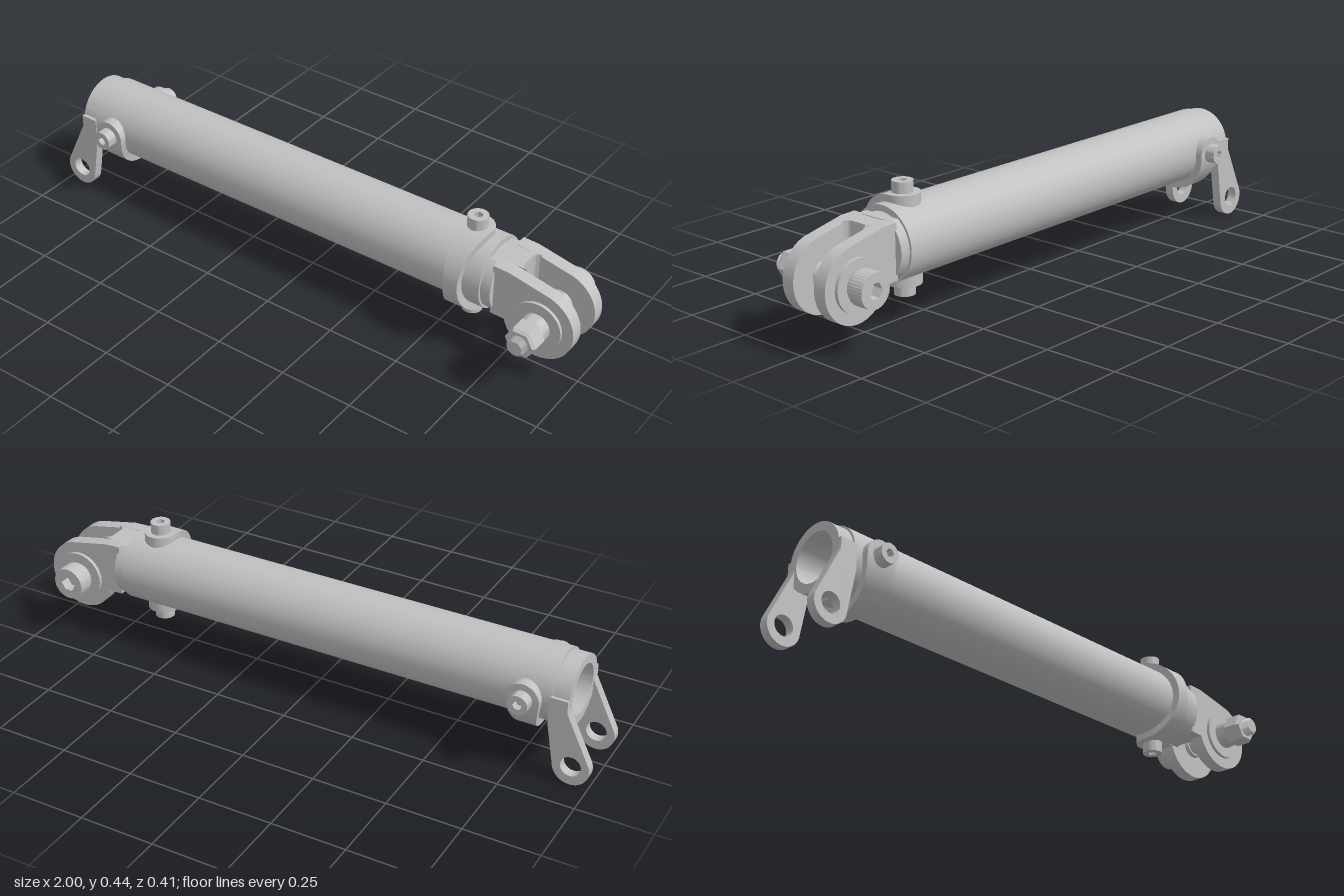
import * as THREE from 'three';
import { toCreasedNormals } from 'three/addons/utils/BufferGeometryUtils.js';

const steel = new THREE.MeshStandardMaterial({ color: 0xc0c0c0, side: THREE.DoubleSide });
steel.name = 'light steel grey';

const AXIS_Y = 0.267, AXIS_Z = -0.023; // tube axis
const PIN_X = 0.88, PIN_Y = 0.211;     // clevis pin

const V = (x, y) => new THREE.Vector2(x, y);

function part(parent, name, geometry) {
  const mesh = new THREE.Mesh(toCreasedNormals(geometry, 0.6), steel);
  mesh.name = name;
  parent.add(mesh);
  return mesh;
}

// turned part along y from [radius, height] pairs
const turned = (pairs, segments = 32) =>
  new THREE.LatheGeometry(pairs.map(([r, h]) => V(r, h)), segments);

// hollow sleeve along x
const sleeve = (ri, ro, x0, x1) =>
  turned([[ri, x0], [ro, x0], [ro, x1], [ri, x1], [ri, x0]], 64)
    .rotateZ(-Math.PI / 2).translate(0, AXIS_Y, AXIS_Z);

const extrude = (shape, depth, curveSegments = 24) =>
  new THREE.ExtrudeGeometry(shape, { depth, bevelEnabled: false, curveSegments });

const hexHole = (r) => new THREE.Path(
  Array.from({ length: 6 }, (_, i) => V(r * Math.cos(i * Math.PI / 3), r * Math.sin(i * Math.PI / 3))));

// saddle strap that wraps half the tube around +z, ends flat and rounded at +y and -y
function strapGeometry() {
  const rounds = [-0.0549, -0.053, -0.048, -0.038, -0.025, -0.012];
  const half = rounds.map((z) => ({
    w: Math.sqrt(0.055 ** 2 - z * z),
    outer: [0.143, z], inner: [Math.sqrt(0.118 ** 2 - z * z), z],
  }));
  const arc = [];
  for (let i = 0; i <= 32; i++) {
    const a = i * Math.PI / 32, s = Math.sin(a), c = Math.cos(a);
    arc.push({
      w: 0.055 - 0.03 * s ** 1.4,
      outer: [0.143 * c, 0.147 * s], inner: [0.118 * c, 0.118 * s],
    });
  }
  const flip = (s) => ({ w: s.w, outer: [-s.outer[0], s.outer[1]], inner: [-s.inner[0], s.inner[1]] });
  const sections = [...half, ...arc, ...half.map(flip).reverse()];
  const pos = [], index = [];
  for (const { w, outer, inner } of sections) {
    pos.push(-w, ...outer, w, ...outer, w, ...inner, -w, ...inner);
  }
  for (let i = 0; i < sections.length - 1; i++) {
    for (let k = 0; k < 4; k++) {
      const a = i * 4 + k, b = i * 4 + (k + 1) % 4;
      index.push(a, a + 4, b, b, a + 4, b + 4);
    }
  }
  const e = (sections.length - 1) * 4;
  index.push(0, 1, 2, 0, 2, 3, e, e + 2, e + 1, e, e + 3, e + 2);
  const g = new THREE.BufferGeometry();
  g.setAttribute('position', new THREE.Float32BufferAttribute(pos, 3));
  g.setIndex(index);
  return g;
}

// strap with a socket screw at each end
function strapGroup(name, x, turn) {
  const g = new THREE.Group();
  g.name = name;
  part(g, 'strap', strapGeometry());
  for (const side of [1, -1]) {
    const head = new THREE.Shape().absarc(0, 0, 0.033, 0, Math.PI * 2);
    head.holes.push(hexHole(0.015));
    const screw = new THREE.Group();
    screw.name = 'strapScrew';
    part(screw, 'screwHead', extrude(head, 0.044).translate(0, 0, 0.135));
    part(screw, 'socketFloor', new THREE.CircleGeometry(0.02, 12).translate(0, 0, 0.155));
    screw.rotation.x = -side * Math.PI / 2;
    g.add(screw);
  }
  g.position.set(x, AXIS_Y, AXIS_Z);
  g.rotation.x = turn;
  return g;
}

function rearFork() {
  const g = new THREE.Group();
  g.name = 'rearFork';
  part(g, 'rearCollar', sleeve(0.083, 0.113, -0.915, -0.8));
  const leg = new THREE.Shape();
  leg.moveTo(-0.855, 0.29);
  leg.lineTo(-0.915, 0.29);
  leg.lineTo(-0.915, 0.25);
  leg.absarc(-0.94, 0.061, 0.06, Math.PI * 0.87, Math.PI * 1.97, false);
  leg.lineTo(-0.855, 0.2);
  leg.holes.push(new THREE.Path().absarc(-0.94, 0.066, 0.034, 0, Math.PI * 2));
  for (const z of [0.068, -0.145]) {
    part(g, 'rearLeg', extrude(leg, 0.032).translate(0, 0, z));
  }
  return g;
}

function frontClevis() {
  const g = new THREE.Group();
  g.name = 'frontClevis';
  // round flange with flats cut at top and bottom
  const a = Math.asin(0.091 / 0.112);
  const flange = new THREE.Shape();
  flange.absarc(0, 0, 0.112, -a, a, false);
  flange.absarc(0, 0, 0.112, Math.PI - a, Math.PI + a, false);
  part(g, 'clevisFlange', extrude(flange, 0.055).rotateY(Math.PI / 2).translate(0.667, AXIS_Y, AXIS_Z));

  const cheek = new THREE.Shape();
  cheek.moveTo(0.715, 0.18);
  cheek.lineTo(0.715, 0.358);
  cheek.lineTo(0.77, 0.356);
  cheek.absarc(PIN_X, PIN_Y, 0.12, Math.PI * 0.42, -Math.PI * 0.91, true);
  for (const z of [0.022, -0.111]) {
    part(g, 'clevisCheek', extrude(cheek, 0.045, 40).translate(0, 0, z));
  }
  // bridge with a hollowed slot end
  const bridge = new THREE.Shape();
  bridge.moveTo(0.715, -0.0445);
  bridge.lineTo(0.805, -0.0445);
  bridge.quadraticCurveTo(0.785, -0.04, 0.785, -0.025);
  bridge.lineTo(0.785, 0.025);
  bridge.quadraticCurveTo(0.785, 0.04, 0.805, 0.0445);
  bridge.lineTo(0.715, 0.0445);
  part(g, 'clevisBridge', extrude(bridge, 0.176).rotateX(-Math.PI / 2).translate(0, 0.18, -0.0225));
  return g;
}

// pin parts run along z
function clevisBolt() {
  const g = new THREE.Group();
  g.name = 'clevisBolt';
  const add = (name, geo) => part(g, name, geo.rotateX(Math.PI / 2));
  add('boltShank', turned([[0, -0.13], [0.034, -0.13], [0.034, 0.07], [0, 0.07]]));
  add('frontWasher', turned([[0, 0.06], [0.083, 0.06], [0.083, 0.078], [0, 0.078]], 40));
  add('backWasher', turned([[0, -0.123], [0.083, -0.123], [0.083, -0.105], [0, -0.105]], 40));
  add('frontSpacer', turned([[0, 0.01], [0.04, 0.01], [0.047, 0.024], [0, 0.024]]));
  add('backSpacer', turned([[0, -0.069], [0.047, -0.069], [0.04, -0.055], [0, -0.055]]));
  add('nutCollar', turned([[0, 0.075], [0.047, 0.075], [0.045, 0.122], [0, 0.122]]));
  add('hexNut', turned([[0, 0.118], [0.053, 0.118], [0.053, 0.168], [0.045, 0.178], [0, 0.178]], 6)
    .rotateY(Math.PI / 6));
  // ridged thread end
  const thread = [[0, 0.17]];
  for (let i = 0; i < 3; i++) thread.push([0.024, 0.175 + i * 0.009], [0.031, 0.179 + i * 0.009]);
  thread.push([0.023, 0.203], [0, 0.203]);
  add('threadEnd', turned(thread, 20));

  // knurled socket head
  const rim = [];
  for (let i = 0; i < 72; i++) {
    const r = i % 2 ? 0.0545 : 0.056, t = i * Math.PI / 36;
    rim.push(V(r * Math.cos(t), r * Math.sin(t)));
  }
  const knurl = new THREE.Shape(rim);
  knurl.holes.push(hexHole(0.027));
  part(g, 'knurledHead', extrude(knurl, 0.055).translate(0, 0, -0.19));
  add('headBase', turned([[0, -0.155], [0.055, -0.155], [0.055, -0.136], [0.046, -0.12], [0, -0.12]]));
  g.position.set(PIN_X, PIN_Y, 0);
  return g;
}

export function createModel() {
  const model = new THREE.Group();
  model.name = 'strutLink';
  part(model, 'mainTube', sleeve(0.1, 0.12, -0.86, 0.688));
  model.add(
    rearFork(),
    strapGroup('rearStrap', -0.777, Math.PI / 2),
    strapGroup('frontStrap', 0.602, 0),
    frontClevis(),
    clevisBolt(),
  );
  return model;
}
